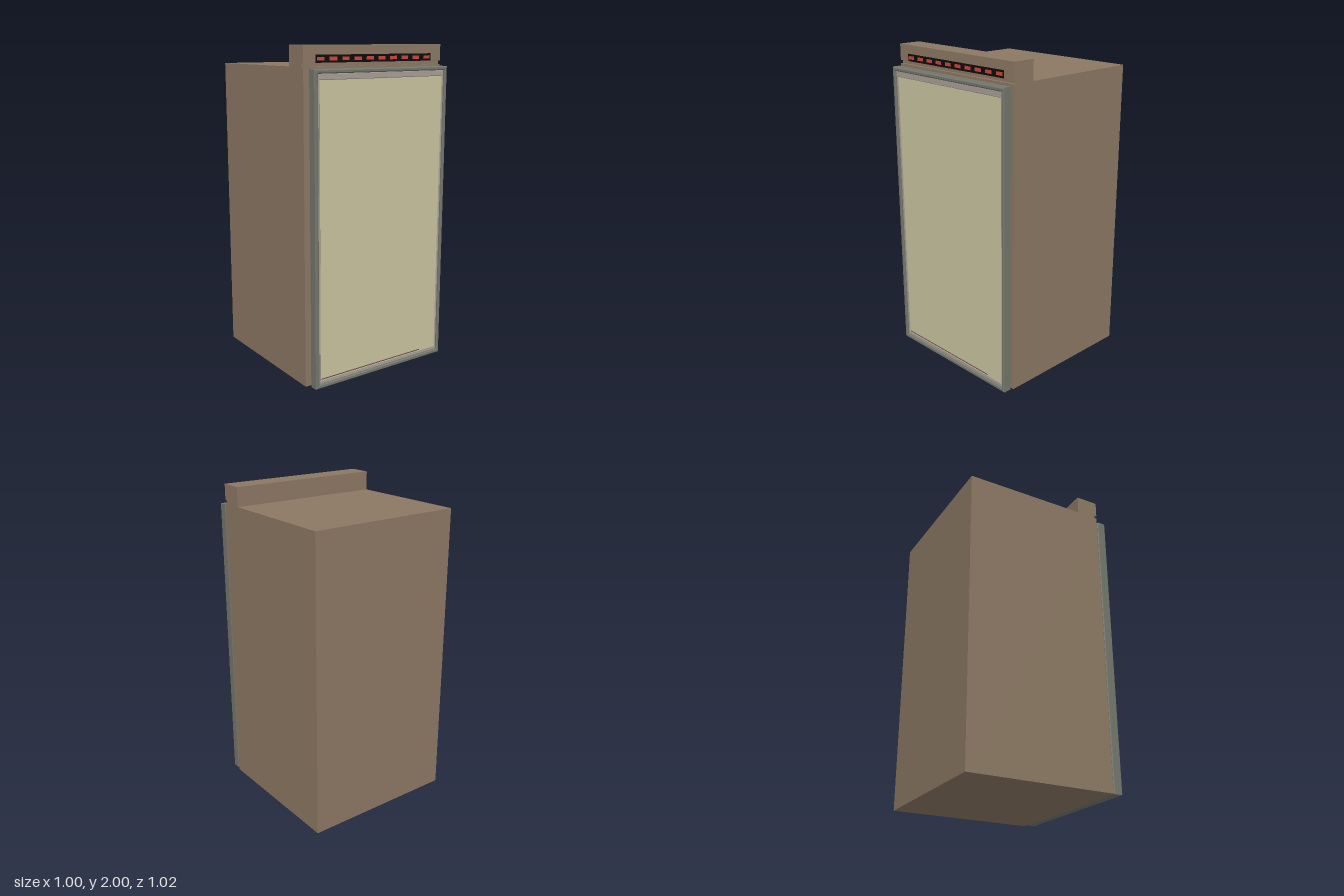
import * as THREE from 'three';

const mat = (color) => new THREE.MeshStandardMaterial({ color });
const brown = mat(0x8c7863), steel = mat(0x73766c), trim = mat(0xa69f96);
const cream = mat(0xc9c49f), black = mat(0x0c0c0c), red = mat(0xd0443e), grey = mat(0x827b75);

// Box given by its min and max corners
function box(parent, name, material, [x0, y0, z0], [x1, y1, z1]) {
  const mesh = new THREE.Mesh(new THREE.BoxGeometry(x1 - x0, y1 - y0, z1 - z0), material);
  mesh.position.set((x0 + x1) / 2, (y0 + y1) / 2, (z0 + z1) / 2);
  mesh.name = name;
  parent.add(mesh);
  return mesh;
}

function trace(path, x0, y0, x1, y1) {
  path.moveTo(x0, y0);
  path.lineTo(x1, y0);
  path.lineTo(x1, y1);
  path.lineTo(x0, y1);
  path.closePath();
  return path;
}

// Rectangular ring with bevelled edges, front face at z = front
function frame(parent, name, material, outer, inner, back, front, bevel) {
  const [x0, y0, x1, y1] = outer, b = bevel;
  const shape = trace(new THREE.Shape(), x0 + b, y0 + b, x1 - b, y1 - b);
  const [u0, v0, u1, v1] = inner;
  shape.holes.push(trace(new THREE.Path(), u0 - b, v0 - b, u1 + b, v1 + b));
  const geo = new THREE.ExtrudeGeometry(shape, {
    depth: front - back - 2 * b, bevelEnabled: true, bevelSize: b, bevelThickness: b, bevelSegments: 1,
  });
  geo.translate(0, 0, back + b);
  const mesh = new THREE.Mesh(geo, material);
  mesh.name = name;
  parent.add(mesh);
}

export function createModel() {
  const model = new THREE.Group();
  model.name = 'cabinet';

  // Cabinet body and the header on its front edge
  box(model, 'body', brown, [-0.5, 0, -0.512], [0.5, 1.88, 0.427]);
  box(model, 'headerNeck', brown, [-0.5, 1.88, 0.28], [0.5, 1.9, 0.41]);
  box(model, 'header', brown, [-0.5, 1.9, 0.28], [0.5, 2, 0.427]);

  // Row of indicator lights
  box(model, 'displayStrip', black, [-0.42, 1.902, 0.42], [0.42, 1.946, 0.429]);
  for (let i = 0; i < 10; i++) {
    const x = -0.387 + i * 0.086;
    box(model, 'indicatorLight', red, [x - 0.025, 1.914, 0.425], [x + 0.025, 1.934, 0.431]);
  }

  // Plates between the body and the door
  box(model, 'innerPlate', grey, [-0.32, 0.07, 0.42], [0.32, 1.19, 0.446]);
  box(model, 'upperInnerPlate', grey, [-0.245, 1.14, 0.42], [0.245, 1.33, 0.447]);

  // Door, hung slightly out of square
  const door = new THREE.Group();
  door.name = 'door';
  door.position.set(0.008, 0, 0.475);
  door.rotation.y = 0.0085;
  model.add(door);
  const w = 0.487;
  frame(door, 'doorFrame', steel, [-w, 0.005, w, 1.87], [-0.462, 0.03, 0.465, 1.846], -0.03, 0.031, 0.006);
  box(door, 'doorBack', steel, [-0.475, 0.015, -0.029], [0.475, 1.86, 0.005]);
  frame(door, 'innerTrim', trim, [-0.464, 0.028, 0.467, 1.848], [-0.445, 0.053, 0.452, 1.81], 0, 0.02, 0.004);
  box(door, 'doorPanel', cream, [-0.447, 0.05, 0], [0.454, 1.812, 0.017]);
  box(door, 'panelSeam', mat(0x6b4a40), [-0.442, 0.054, 0.01], [0.327, 0.06, 0.018]);

  return model;
}
